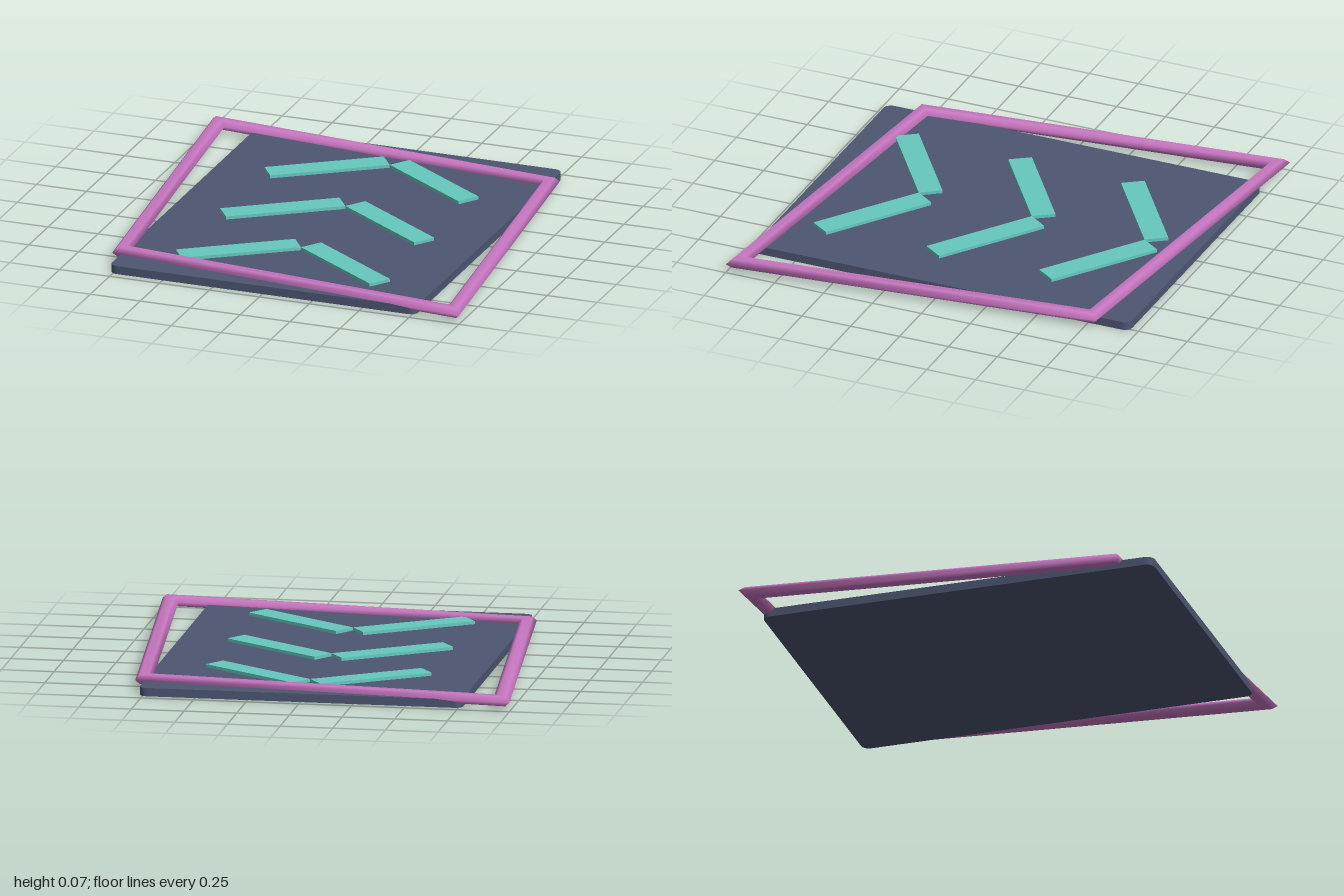
import * as THREE from 'three';

const material = (name, color) => {
  const m = new THREE.MeshStandardMaterial({ color });
  m.name = name;
  return m;
};

export function createModel() {
  const slate = material('slate', 0x4e5672);
  const pink = material('pink', 0xc977c2);
  const teal = material('teal', 0x66c9c0);
  const model = new THREE.Group();
  model.name = 'chevronPad';

  const add = (name, geometry, mat, x = 0, y = 0, z = 0) => {
    const mesh = new THREE.Mesh(geometry, mat);
    mesh.name = name;
    mesh.position.set(x, y, z);
    model.add(mesh);
    return mesh;
  };

  // Base plate with rounded corners
  const w = 0.767, d = 0.96, r = 0.038;
  const outline = new THREE.Shape();
  outline.absarc(w - r, d - r, r, 0, Math.PI / 2);
  outline.absarc(-w + r, d - r, r, Math.PI / 2, Math.PI);
  outline.absarc(-w + r, -d + r, r, Math.PI, Math.PI * 1.5);
  outline.absarc(w - r, -d + r, r, Math.PI * 1.5, Math.PI * 2);
  const plate = new THREE.ExtrudeGeometry(outline, { depth: 0.04, bevelEnabled: false, curveSegments: 6 });
  plate.rotateX(-Math.PI / 2);
  add('basePlate', plate, slate);

  // Rhombus frame: a four-sided ring, flattened and squeezed along one diagonal
  const ring = new THREE.TorusGeometry(1.35, 0.064, 6, 4);
  ring.scale(1, 0.81, 0.41);
  ring.rotateX(-Math.PI / 2);
  ring.rotateY(-Math.PI / 4);
  add('frame', ring, pink, 0, 0.043, 0);

  // Three chevrons, each made of two mirrored bars
  const bar = new THREE.BoxGeometry(0.575, 0.02, 0.113);
  for (const z of [-0.58, -0.003, 0.575]) {
    for (const side of [-1, 1]) {
      const mesh = add(side > 0 ? 'chevronLeftBar' : 'chevronRightBar', bar, teal, side * 0.268, 0.045, z);
      mesh.rotation.y = -side * THREE.MathUtils.degToRad(35);
    }
  }

  return model;
}
